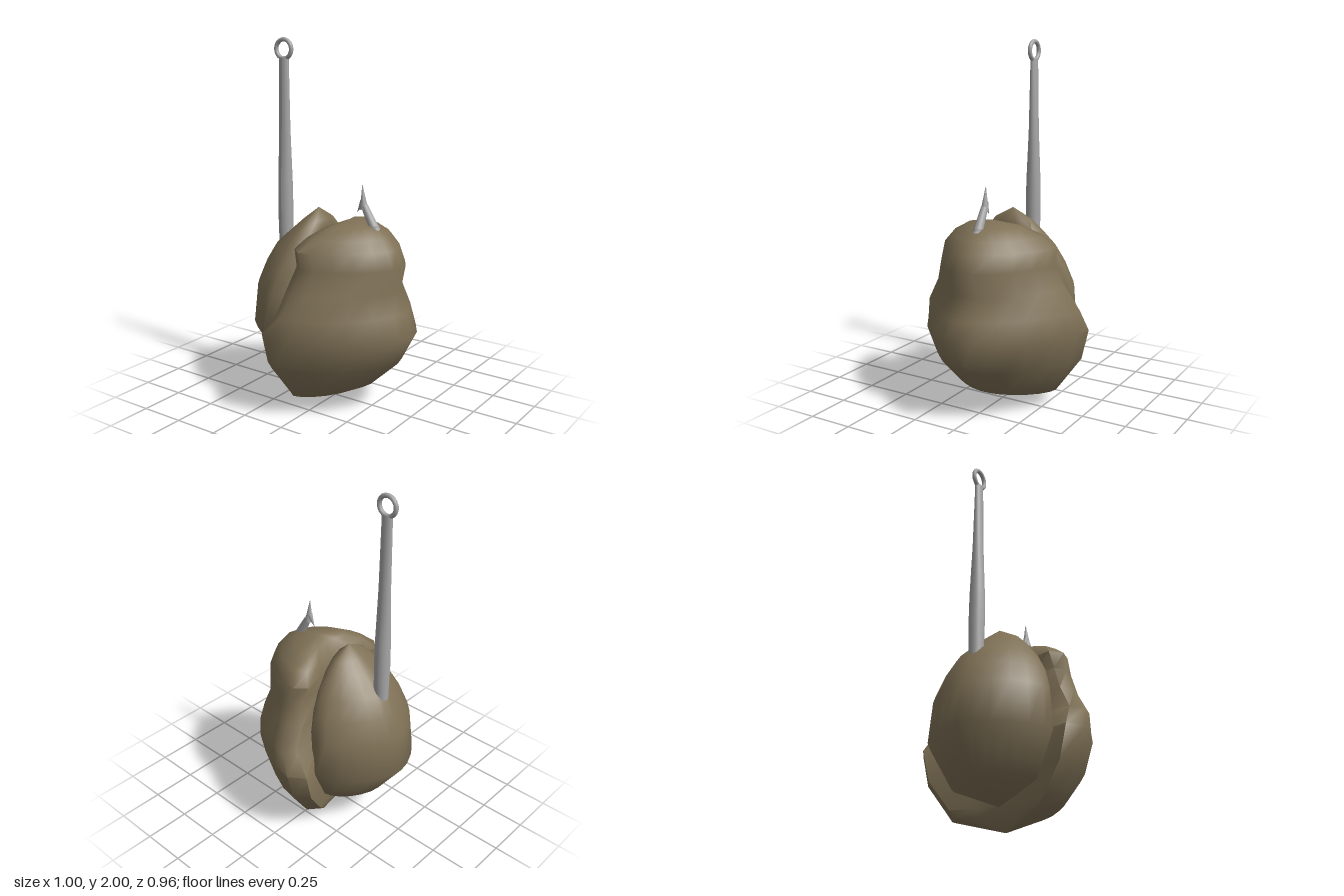
import * as THREE from 'three';
import { toCreasedNormals } from 'three/addons/utils/BufferGeometryUtils.js';

const STEPS = 6;

// Cross-section: inner centre, inner lip, then a rounded curve to the outer point, mirrored in z.
function section([y, xc, xe, ze, xm, zm, xo], power, side) {
  const half = [[xc, 0], [(xc + xe) / 2, ze / 2], [xe, ze]];
  for (let i = 0; i <= STEPS; i++) {
    const t = (i / STEPS) * Math.PI / 2;
    const s = Math.pow(Math.sin(t), 2 / power);
    const c = i === STEPS ? 0 : Math.pow(Math.cos(t), 2 / power);
    half.push([xm + (xo - xm) * s, zm * c]);
  }
  const back = half.slice(1, -1).reverse().map(([x, z]) => [x, -z]);
  return [...half, ...back].map(([x, z]) => new THREE.Vector3(x, y, z * side));
}

// Closed lump lofted through the sections, ending in a point at each end.
function lump(name, bottom, rows, top, power, side, material) {
  const rings = rows.map((r) => section(r, power, side));
  const n = rings[0].length;
  const low = new THREE.Vector3(...bottom), high = new THREE.Vector3(...top);
  const points = [];
  const last = rings[rings.length - 1];
  for (let k = 0; k < n; k++) {
    const m = (k + 1) % n;
    points.push(low, rings[0][m], rings[0][k]);
    for (let i = 0; i < rings.length - 1; i++) {
      const a = rings[i], b = rings[i + 1];
      points.push(a[k], a[m], b[m], a[k], b[m], b[k]);
    }
    points.push(last[k], last[m], high);
  }
  const geometry = new THREE.BufferGeometry().setFromPoints(points);
  const mesh = new THREE.Mesh(toCreasedNormals(geometry, 1.05), material);
  mesh.name = name;
  return mesh;
}

// Tapered round rod between two points.
function rod(name, from, to, r0, r1, material) {
  const a = new THREE.Vector3(...from), b = new THREE.Vector3(...to);
  const dir = b.clone().sub(a);
  const mesh = new THREE.Mesh(new THREE.CylinderGeometry(r1, r0, dir.length(), 14), material);
  mesh.position.copy(a).add(b).multiplyScalar(0.5);
  mesh.quaternion.setFromUnitVectors(new THREE.Vector3(0, 1, 0), dir.normalize());
  mesh.name = name;
  return mesh;
}

export function createModel() {
  const dough = new THREE.MeshStandardMaterial({ color: 0x7f7156 });
  dough.name = 'brown dough';
  const steel = new THREE.MeshStandardMaterial({ color: 0xa6a6a6 });
  steel.name = 'grey steel';
  const model = new THREE.Group();
  model.name = 'baitedHook';

  // Large lump: columns are y, inner centre x, lip x, lip z, widest x, widest z, outer x
  model.add(lump('largeLump', [-0.04, 0.005, 0], [
    [0.09, -0.08, -0.13, 0.23, -0.07, 0.30, 0.16],
    [0.13, -0.09, -0.145, 0.27, -0.07, 0.33, 0.24],
    [0.29, -0.09, -0.18, 0.38, -0.10, 0.44, 0.41],
    [0.46, -0.08, -0.185, 0.42, -0.10, 0.48, 0.50],
    [0.58, -0.06, -0.10, 0.40, -0.04, 0.455, 0.45],
    [0.70, -0.04, -0.08, 0.34, -0.01, 0.385, 0.40],
    [0.83, -0.02, -0.045, 0.29, 0.01, 0.335, 0.43],
    [0.92, 0.00, -0.07, 0.275, -0.01, 0.33, 0.39],
    [0.98, 0.03, -0.02, 0.23, 0.04, 0.26, 0.34],
    [1.03, 0.06, 0.04, 0.13, 0.08, 0.16, 0.26],
  ], [0.12, 1.06, 0], 1.6, 1, dough));

  // Small lump, tucked against the hollow of the large one
  model.add(lump('smallLump', [-0.11, 0.12, 0], [
    [0.22, -0.06, -0.10, 0.20, -0.15, 0.24, -0.34],
    [0.44, -0.07, -0.12, 0.30, -0.185, 0.35, -0.50],
    [0.66, -0.07, -0.10, 0.29, -0.18, 0.335, -0.47],
    [0.78, -0.065, -0.09, 0.26, -0.15, 0.295, -0.42],
    [0.88, -0.06, -0.08, 0.21, -0.13, 0.24, -0.36],
    [0.97, -0.045, -0.07, 0.14, -0.12, 0.17, -0.255],
    [1.03, -0.045, -0.07, 0.08, -0.11, 0.11, -0.185],
  ], [-0.11, 1.09, 0], 1.65, -1, dough));

  // Hook shank, flattened towards the eye
  const shankGeometry = new THREE.LatheGeometry(
    [[0.036, 0.7], [0.043, 1.05], [0.041, 1.2], [0.034, 1.5], [0.031, 1.89], [0, 1.895]]
      .map(([r, y]) => new THREE.Vector2(r, y)), 16);
  const p = shankGeometry.attributes.position;
  for (let i = 0; i < p.count; i++) {
    const t = Math.max(0, (p.getY(i) - 1.2) / 0.7);
    p.setZ(i, p.getZ(i) * (1 - 0.45 * t));
  }
  shankGeometry.computeVertexNormals();
  const shank = new THREE.Mesh(shankGeometry, steel);
  shank.name = 'shank';
  shank.position.x = -0.34;
  model.add(shank);

  // Line eye
  const eye = new THREE.Mesh(new THREE.TorusGeometry(0.051, 0.012, 10, 28), steel);
  eye.name = 'eye';
  eye.position.set(-0.34, 1.937, 0);
  model.add(eye);

  // Bend running through the dough
  const path = new THREE.CatmullRomCurve3([
    [-0.34, 0.72], [-0.3, 0.5], [-0.1, 0.36], [0.15, 0.42], [0.29, 0.65], [0.3, 0.88], [0.25, 1.03],
  ].map(([x, y]) => new THREE.Vector3(x, y, 0)));
  const bend = new THREE.Mesh(new THREE.TubeGeometry(path, 28, 0.026, 12), steel);
  bend.name = 'bend';
  model.add(bend);

  // Point and barb
  model.add(rod('pointArm', [0.268, 0.99, 0], [0.188, 1.135, 0], 0.028, 0.019, steel));
  model.add(rod('pointTip', [0.187, 1.115, 0], [0.175, 1.245, 0], 0.022, 0.001, steel));
  model.add(rod('barb', [0.18, 1.16, 0], [0.145, 1.095, 0], 0.016, 0.001, steel));
  return model;
}
